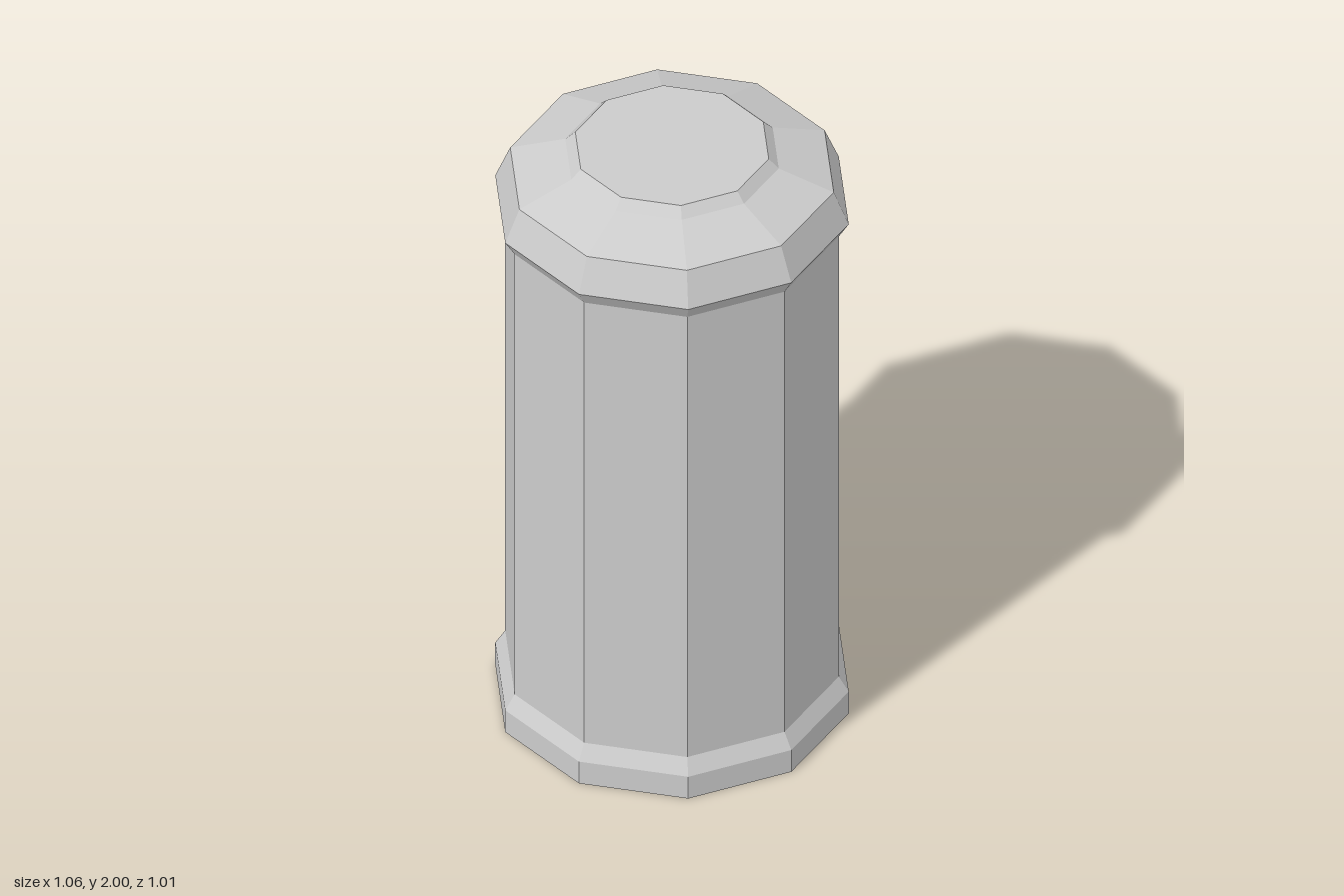
import * as THREE from 'three';

const SIDES = 10;

export function createModel() {
  const group = new THREE.Group();
  const material = new THREE.MeshStandardMaterial({ color: 0xcccccc, flatShading: true });

  // Ten-sided turned section from [radius, height] pairs, a corner on the x axis
  function addSection(name, profile) {
    const points = profile.map(([r, y]) => new THREE.Vector2(r, y));
    const mesh = new THREE.Mesh(new THREE.LatheGeometry(points, SIDES, Math.PI / 2), material);
    mesh.name = name;
    group.add(mesh);
  }

  // Foot with closed underside and sloped shoulder
  addSection('base', [[0, 0], [0.53, 0], [0.53, 0.08], [0.5, 0.13]]);

  // Straight faceted wall
  addSection('body', [[0.5, 0.13], [0.5, 1.75]]);

  // Overhanging lid, bevelled up to a small flat cap
  addSection('lid', [[0.5, 1.75], [0.53, 1.8], [0.485, 1.91], [0.32, 1.97]]);
  addSection('cap', [[0.32, 1.97], [0.29, 2], [0, 2]]);

  return group;
}
